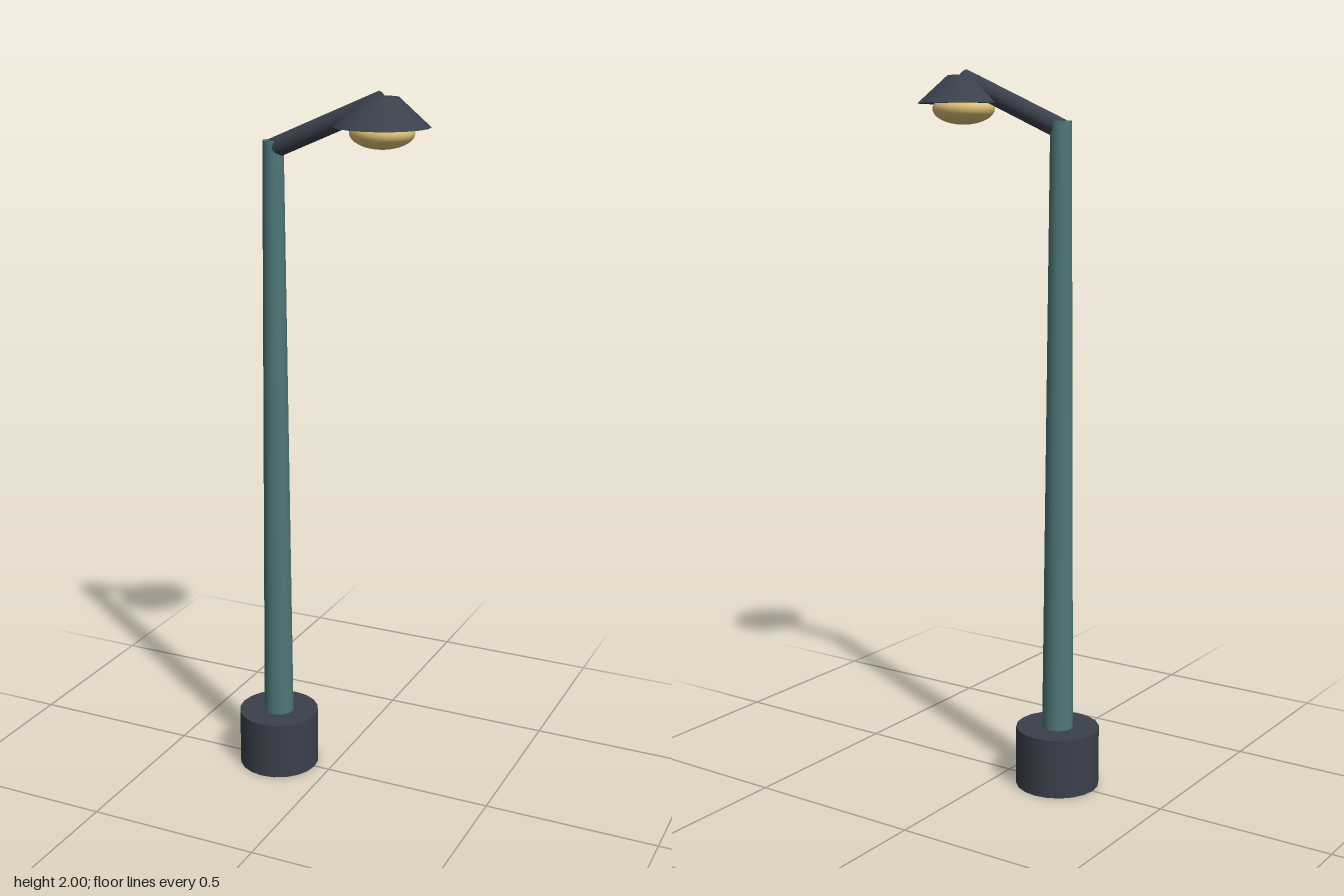
import * as THREE from 'three';

const SIDES = 20;
const POLE_X = -0.165;
const LAMP_X = 0.153;

export function createModel() {
  const group = new THREE.Group();
  group.name = 'streetLamp';

  const material = (name, color) => {
    const m = new THREE.MeshStandardMaterial({ color });
    m.name = name;
    return m;
  };
  const darkMetal = material('darkMetal', 0x3a404c);
  const greenMetal = material('greenMetal', 0x4f7777);
  const warmGlass = material('warmGlass', 0xe3c47a);

  const add = (name, geometry, mat, x, y) => {
    const mesh = new THREE.Mesh(geometry, mat);
    mesh.name = name;
    mesh.position.set(x, y, 0);
    group.add(mesh);
    return mesh;
  };
  // Upright round part between two heights
  const column = (name, rTop, rBottom, y0, y1, mat, x) =>
    add(name, new THREE.CylinderGeometry(rTop, rBottom, y1 - y0, SIDES), mat, x, (y0 + y1) / 2);

  // Base and tapered pole
  column('base', 0.118, 0.118, 0, 0.169, darkMetal, POLE_X);
  column('pole', 0.029, 0.044, 0.16, 1.86, greenMetal, POLE_X);

  // Sloping arm from the pole top to the lamp
  const start = new THREE.Vector3(POLE_X, 1.838, 0);
  const end = new THREE.Vector3(LAMP_X, 1.975, 0);
  const along = end.clone().sub(start);
  const arm = add('arm', new THREE.CylinderGeometry(0.0275, 0.0275, along.length(), SIDES),
    darkMetal, (start.x + end.x) / 2, (start.y + end.y) / 2);
  arm.quaternion.setFromUnitVectors(new THREE.Vector3(0, 1, 0), along.normalize());

  // Conical shade with a flattened bulb below it
  column('shade', 0.044, 0.128, 1.909, 1.985, darkMetal, LAMP_X);
  const bulb = add('bulb', new THREE.SphereGeometry(0.087, 24, 16), warmGlass, LAMP_X, 1.895);
  bulb.scale.y = 0.5;

  return group;
}
